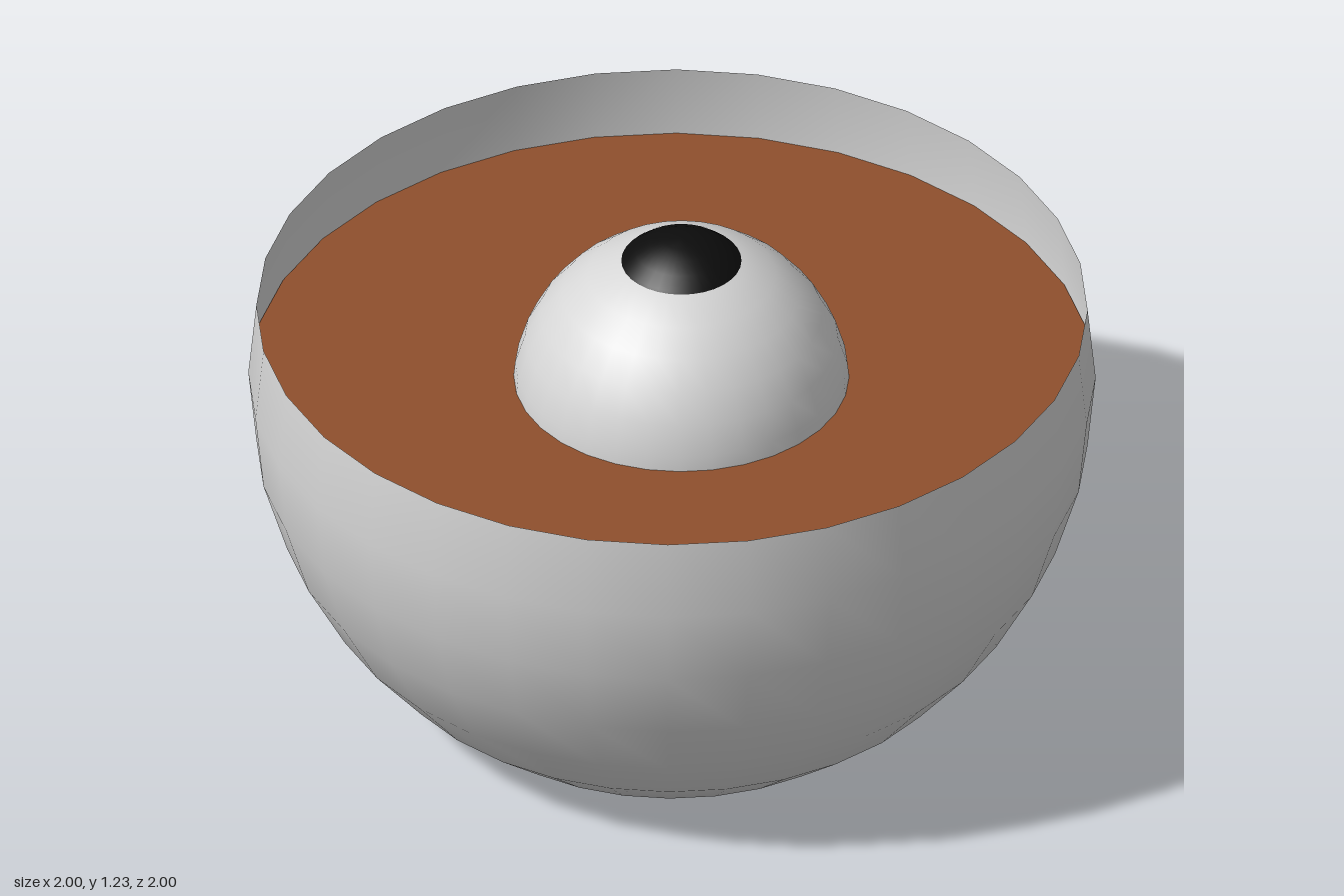
import * as THREE from 'three';

export function createModel() {
  const group = new THREE.Group();
  const porcelain = new THREE.MeshStandardMaterial({ color: 0xd6d6d6, side: THREE.DoubleSide });
  porcelain.name = 'lightGrey';
  const brown = new THREE.MeshStandardMaterial({ color: 0x8f502d, side: THREE.DoubleSide });
  brown.name = 'brown';
  const black = new THREE.MeshStandardMaterial({ color: 0x0c0c0c });
  black.name = 'black';

  const add = (name, geometry, material, x, y, z) => {
    const mesh = new THREE.Mesh(geometry, material);
    mesh.name = name;
    mesh.position.set(x, y, z);
    group.add(mesh);
    return mesh;
  };

  // Bowl: unit sphere rings from the flat foot up to just above the equator
  const centreY = 0.831;
  const profile = [new THREE.Vector2(0, 0)];
  for (let i = -5; i <= 1; i++) {
    const a = i * Math.PI / 16;
    profile.push(new THREE.Vector2(Math.cos(a), centreY + Math.sin(a)));
  }
  add('bowl', new THREE.LatheGeometry(profile, 32), porcelain, 0, 0, 0);

  // Liquid filling the bowl up to its widest ring
  const liquid = new THREE.CircleGeometry(0.998, 32).rotateX(-Math.PI / 2);
  add('liquid', liquid, brown, 0, centreY, 0);

  // Floating eyeball with a bulging pupil
  add('eyeball', new THREE.SphereGeometry(0.4, 32, 16), porcelain, 0.02, 0.79, -0.01);
  add('pupil', new THREE.SphereGeometry(0.195, 32, 16), black, 0.02, 1.03, -0.01);

  return group;
}
